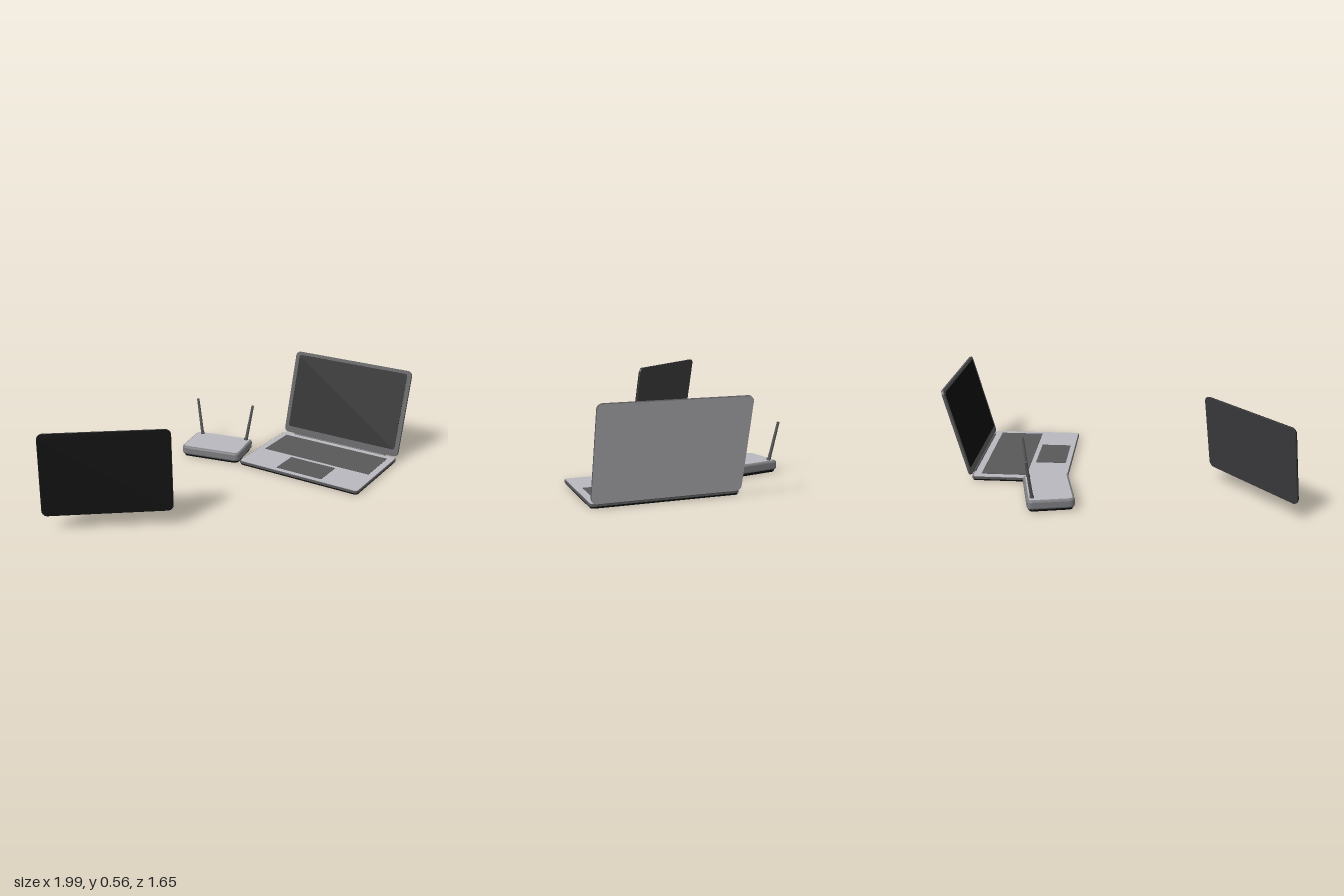
import * as THREE from 'three';

const mat = (name, color) => Object.assign(new THREE.MeshStandardMaterial({ color }), { name });

export function createModel() {
  const silver = mat('silver', 0xb9b8be);
  const grey = mat('dark grey', 0x58585a);
  const mid = mat('mid grey', 0x7c7c80);
  const charcoal = mat('charcoal', 0x3c3c3e);
  const black = mat('black', 0x0c0c0c);

  // Rounded plate in XY, from z = 0 to z = t, optionally bevelled inwards
  function plate(parent, name, w, h, t, r, faces, edges, bevel = 0) {
    const x = w / 2 - bevel, y = h / 2 - bevel;
    const s = new THREE.Shape();
    s.moveTo(-x + r, -y);
    s.lineTo(x - r, -y);
    s.absarc(x - r, -y + r, r, -Math.PI / 2, 0);
    s.absarc(x - r, y - r, r, 0, Math.PI / 2);
    s.absarc(-x + r, y - r, r, Math.PI / 2, Math.PI);
    s.absarc(-x + r, -y + r, r, Math.PI, Math.PI * 1.5);
    const geo = new THREE.ExtrudeGeometry(s, {
      depth: t - 2 * bevel, curveSegments: 6, bevelEnabled: bevel > 0,
      bevelSize: bevel, bevelThickness: bevel, bevelSegments: 2,
    });
    geo.translate(0, 0, bevel);
    const mesh = new THREE.Mesh(geo, [faces, edges]);
    mesh.name = name;
    parent.add(mesh);
    return mesh;
  }
  // The same plate lying flat with its underside at y
  function flat(parent, name, w, d, t, r, y, z, faces, edges, bevel) {
    const mesh = plate(parent, name, w, d, t, r, faces, edges, bevel);
    mesh.rotation.x = -Math.PI / 2;
    mesh.position.set(0, y, z);
    return mesh;
  }
  // Round rod between two points
  function rod(parent, name, a, b, r0, r1, material) {
    const dir = b.clone().sub(a);
    const mesh = new THREE.Mesh(new THREE.CylinderGeometry(r1, r0, dir.length(), 12), material);
    mesh.name = name;
    mesh.position.copy(a).add(b).multiplyScalar(0.5);
    mesh.quaternion.setFromUnitVectors(new THREE.Vector3(0, 1, 0), dir.normalize());
    parent.add(mesh);
  }
  function group(parent, name, x, y, z, ry = 0, rx = 0) {
    const g = new THREE.Group();
    g.name = name;
    g.position.set(x, y, z);
    g.rotation.set(rx, ry, 0, 'YXZ');
    parent.add(g);
    return g;
  }
  const v = (x, y, z) => new THREE.Vector3(x, y, z);

  const model = new THREE.Group();
  model.name = 'deskDevices';

  // Laptop base
  const laptop = group(model, 'laptop', 0.428, 0, -0.253, -0.442);
  flat(laptop, 'underside', 0.81, 0.565, 0.01, 0.022, 0, 0, black, black);
  flat(laptop, 'baseShell', 0.82, 0.573, 0.013, 0.025, 0.01, 0, grey, grey);
  flat(laptop, 'deck', 0.81, 0.563, 0.003, 0.022, 0.023, 0, silver, silver);
  flat(laptop, 'keyboard', 0.73, 0.275, 0.002, 0.002, 0.026, -0.098, grey, grey);
  flat(laptop, 'trackpad', 0.31, 0.185, 0.002, 0.002, 0.026, 0.16, grey, grey);
  rod(laptop, 'hinge', v(-0.33, 0.026, -0.283), v(0.33, 0.026, -0.283), 0.007, 0.007, grey);

  // Laptop lid, leaning back from the rear edge
  const lid = group(laptop, 'lid', 0, 0.03, -0.2865, 0, -0.27);
  plate(lid, 'lidBack', 0.82, 0.545, 0.006, 0.03, silver, grey).position.set(0, 0.2725, -0.014);
  plate(lid, 'bezel', 0.82, 0.545, 0.008, 0.03, grey, grey).position.set(0, 0.2725, -0.008);
  plate(lid, 'screen', 0.766, 0.484, 0.002, 0.012, black, black).position.set(0, 0.283, 0);

  // Router
  const router = group(model, 'router', -0.225, 0, -0.337, -0.232);
  flat(router, 'routerBase', 0.37, 0.25, 0.022, 0.02, 0, 0, black, black, 0.008);
  flat(router, 'routerBody', 0.39, 0.268, 0.052, 0.02, 0.016, 0, mid, mid, 0.01);
  flat(router, 'routerTop', 0.365, 0.243, 0.004, 0.02, 0.067, 0, silver, silver);

  // Antennas
  const antennas = group(model, 'antennas', 0, 0, 0);
  const ends = [
    [v(-0.345, 0.065, -0.47), v(-0.378, 0.3, -0.51)],
    [v(-0.048, 0.065, -0.402), v(-0.007, 0.3, -0.418)],
  ];
  for (const [a, b] of ends) {
    rod(antennas, 'antenna', a, b, 0.01, 0.008, grey);
    rod(antennas, 'antennaFoot', v(a.x, 0.06, a.z), v(a.x, 0.082, a.z), 0.014, 0.012, grey);
  }

  // Tablet, floating and leaning back
  const tablet = group(model, 'tablet', -0.652, 0.312, 0.712, 0.231, -0.15);
  plate(tablet, 'tabletBack', 0.7, 0.45, 0.009, 0.032, charcoal, charcoal).position.z = -0.009;
  plate(tablet, 'tabletGlass', 0.696, 0.446, 0.006, 0.03, black, black);

  return model;
}
